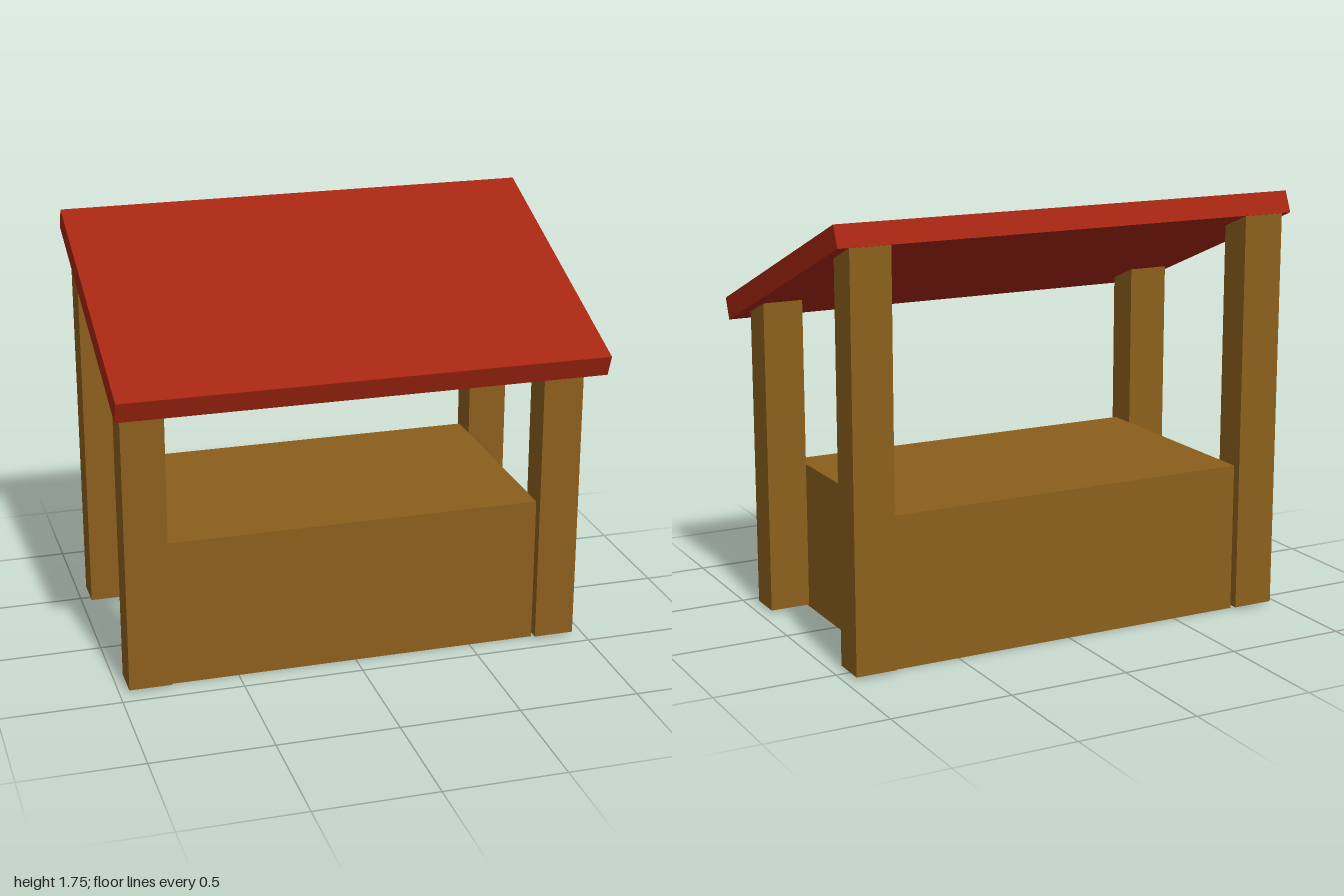
import * as THREE from 'three';

const wood = new THREE.MeshStandardMaterial({ color: 0x8b5f1c });
const red = new THREE.MeshStandardMaterial({ color: 0xa52611 });

// Prism along x between x0 and x1 from a side profile of [z, y] points
function prism(name, profile, x0, x1, material) {
  const shape = new THREE.Shape(profile.map(([z, y]) => new THREE.Vector2(z, y)));
  const geometry = new THREE.ExtrudeGeometry(shape, { depth: x1 - x0, bevelEnabled: false });
  geometry.rotateY(-Math.PI / 2).translate(x1, 0, 0);
  const mesh = new THREE.Mesh(geometry, material);
  mesh.name = name;
  return mesh;
}

// Height of the sloping roof underside at depth z
const underside = (z) => 1.21 + (0.56 - z) * 0.4;

export function createModel() {
  const group = new THREE.Group();
  group.name = 'marketStall';

  // Solid counter, set just inside the posts
  const counter = new THREE.Mesh(new THREE.BoxGeometry(1.562, 0.622, 0.955), wood);
  counter.name = 'counter';
  counter.position.set(-0.002, 0.311, -0.078);
  group.add(counter);

  // Four posts, their tops cut to the roof slope
  for (const [end, z0, z1] of [['front', 0.285, 0.43], ['back', -0.59, -0.445]]) {
    const profile = [[z0, 0.012], [z1, 0.012], [z1, underside(z1)], [z0, underside(z0)]];
    group.add(prism(end + 'LeftPost', profile, 0.784, 0.953, wood));
    group.add(prism(end + 'RightPost', profile, -0.96, -0.785, wood));
  }

  // Sloping slab roof, high at the back
  const roof = [[0.558, 1.21], [0.592, 1.297], [-0.556, 1.755], [-0.592, 1.67]];
  group.add(prism('roof', roof, -1, 1, red));

  return group;
}
